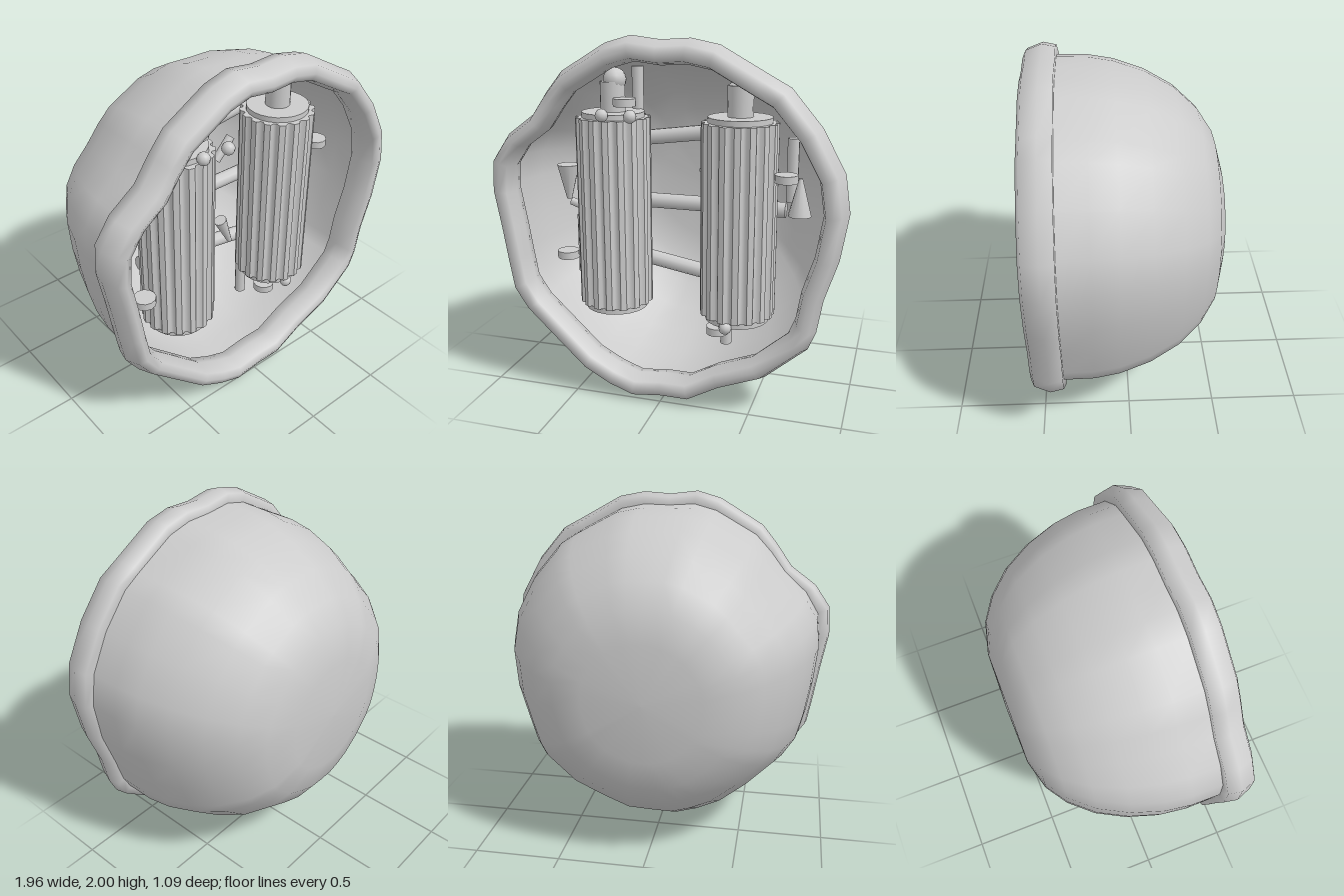
import * as THREE from 'three';
import { toCreasedNormals } from 'three/addons/utils/BufferGeometryUtils.js';

const material = new THREE.MeshStandardMaterial({ color: 0xcccccc });
const shellMaterial = new THREE.MeshStandardMaterial({ color: 0xcccccc, side: THREE.DoubleSide });

// Lumpy outline of the rim, counter-clockwise, relative to its centre
const outline = [
  [0.98, 0.15], [0.95, 0.35], [0.83, 0.57], [0.67, 0.76], [0.56, 0.82], [0.31, 0.96],
  [0.16, 0.99], [0, 0.98], [-0.16, 1], [-0.3, 0.96], [-0.55, 0.81], [-0.64, 0.7],
  [-0.73, 0.57], [-0.88, 0.46], [-0.97, 0.33], [-0.98, 0.16], [-0.94, -0.06], [-0.91, -0.25],
  [-0.88, -0.42], [-0.8, -0.54], [-0.62, -0.71], [-0.45, -0.87], [-0.3, -0.95], [-0.16, -1],
  [0.01, -0.98], [0.17, -0.98], [0.35, -0.88], [0.58, -0.79], [0.8, -0.6], [0.84, -0.5],
  [0.87, -0.32], [0.94, -0.1],
];

// Skins rings made of the outline: each ring is [scale, z, roundness]
function loft(rings, closed) {
  const n = outline.length, m = rings.length;
  const positions = [], index = [];
  for (const [scale, z, round = 0] of rings) {
    for (const [x, y] of outline) {
      const k = scale * THREE.MathUtils.lerp(1, 0.975 / Math.hypot(x, y), round);
      positions.push(x * k, 1 + y * k, z);
    }
  }
  for (let i = 0; i < (closed ? m : m - 1); i++) {
    for (let j = 0; j < n; j++) {
      const i2 = (i + 1) % m, j2 = (j + 1) % n;
      const a = i * n + j, b = i * n + j2, c = i2 * n + j2, d = i2 * n + j;
      index.push(a, d, c, a, c, b);
    }
  }
  const geometry = new THREE.BufferGeometry();
  geometry.setAttribute('position', new THREE.Float32BufferAttribute(positions, 3));
  geometry.setIndex(index);
  geometry.computeVertexNormals();
  return geometry;
}

function add(parent, name, geometry, x = 0, y = 0, z = 0, mat = material) {
  const mesh = new THREE.Mesh(geometry, mat);
  mesh.name = name;
  mesh.position.set(x, y, z);
  parent.add(mesh);
  return mesh;
}

// Round rod (or cone) running from one point to another
function rod(parent, name, from, to, r0, r1 = r0, sides = 10) {
  const a = new THREE.Vector3(...from), b = new THREE.Vector3(...to);
  const dir = b.clone().sub(a);
  const mid = a.clone().add(b).multiplyScalar(0.5);
  const mesh = add(parent, name, new THREE.CylinderGeometry(r1, r0, dir.length(), sides), mid.x, mid.y, mid.z);
  mesh.quaternion.setFromUnitVectors(new THREE.Vector3(0, 1, 0), dir.normalize());
}

// Fluted column body, extruded upwards from a toothed outline
function flutedGeometry(radius, inner, ribs, height) {
  const shape = new THREE.Shape();
  for (let i = 0; i < ribs; i++) {
    [[0, inner], [0.2, radius], [0.6, radius], [0.8, inner]].forEach(([t, r], k) => {
      const a = ((i + t) / ribs) * Math.PI * 2;
      const method = i + k === 0 ? 'moveTo' : 'lineTo';
      shape[method](Math.cos(a) * r, Math.sin(a) * r);
    });
  }
  shape.closePath();
  const geometry = new THREE.ExtrudeGeometry(shape, { depth: height, bevelEnabled: false });
  geometry.rotateX(-Math.PI / 2);
  return toCreasedNormals(geometry, 1);
}

export function createModel() {
  const model = new THREE.Group();
  model.name = 'pod';

  // Bowl, rounding off towards the back
  add(model, 'bowl', loft([
    [0.942, 0.37, 0.3], [0.94, 0.2, 0.35], [0.918, 0.06, 0.4], [0.86, -0.11, 0.45], [0.77, -0.27, 0.5],
    [0.65, -0.4, 0.6], [0.52, -0.485, 0.7], [0.34, -0.533, 0.8], [0, -0.54, 1],
  ], false), 0, 0, 0, shellMaterial);

  // Thick, smooth rolled rim with a flat back
  add(model, 'rim', loft([
    [0.925, 0.545], [0.967, 0.527], [1, 0.44], [0.985, 0.367], [0.93, 0.366], [0.885, 0.367], [0.868, 0.44], [0.888, 0.527],
  ], true));

  // Two fluted columns with end caps and a post on top
  const fluted = flutedGeometry(0.21, 0.19, 16, 1.075);
  for (const [side, x] of [['right', -0.358], ['left', 0.365]]) {
    const column = new THREE.Group();
    column.name = side + 'Column';
    column.position.set(x, 0, 0.21);
    model.add(column);
    add(column, 'flutedBody', fluted, 0, 0.47, 0);
    add(column, 'topCap', new THREE.CylinderGeometry(0.175, 0.175, 0.06, 24), 0, 1.545, 0);
    add(column, 'bottomCap', new THREE.CylinderGeometry(0.18, 0.18, 0.06, 24), 0, 0.465, 0);
    add(column, 'post', new THREE.CylinderGeometry(0.07, 0.07, 0.18, 14), 0, 1.65, 0);
    if (side === 'right') add(column, 'ball', new THREE.SphereGeometry(0.065, 12, 8), 0.015, 1.75, 0);
    else add(column, 'tip', new THREE.ConeGeometry(0.055, 0.06, 12), -0.015, 1.765, 0);
  }

  // Pipes linking the columns
  rod(model, 'upperPipe', [-0.42, 1.365, -0.07], [0.42, 1.475, -0.07], 0.045);
  rod(model, 'middlePipe', [-0.575, 1.005, -0.07], [0.58, 1.005, -0.07], 0.045);
  rod(model, 'lowerPipe', [-0.42, 0.675, -0.07], [0.42, 0.53, -0.07], 0.045);

  // Valves: a stem with a disc standing in front of it
  for (const [x, y] of [[-0.63, 0.74], [0.63, 1.27], [-0.265, 1.635], [0.267, 0.375]]) {
    const valve = new THREE.Group();
    valve.name = 'valve';
    valve.position.set(x, y, 0.06);
    model.add(valve);
    add(valve, 'stem', new THREE.CylinderGeometry(0.033, 0.033, 0.355, 10));
    add(valve, 'disc', new THREE.CylinderGeometry(0.063, 0.063, 0.043, 12), 0, 0, 0.215);
  }

  // Small knobs at the column ends
  for (const [x, y, z] of [[-0.34, 1.58, 0.42], [-0.18, 1.58, 0.42], [0.34, 0.44, 0.39]]) {
    add(model, 'knob', new THREE.SphereGeometry(0.036, 10, 8), x, y, z);
  }

  // Nozzles and short stubs
  rod(model, 'rightNozzle', [-0.685, 1.03, 0.12], [-0.685, 1.235, 0.12], 0.015, 0.065, 12);
  rod(model, 'leftNozzle', [0.685, 1.03, 0.12], [0.685, 1.24, 0.12], 0.065, 0.01, 12);
  rod(model, 'innerNozzle', [0.14, 0.77, 0], [0.22, 0.58, 0], 0.04, 0.015, 12);
  rod(model, 'stub', [-0.75, 0.965, -0.05], [-0.56, 0.9, -0.05], 0.026, 0.026, 8);
  rod(model, 'stub', [0.1, 1.21, 0], [0.21, 1.33, 0], 0.026, 0.026, 8);
  rod(model, 'stub', [0.31, 0.47, 0.05], [0.415, 0.37, 0.05], 0.03, 0.03, 8);

  return model;
}
